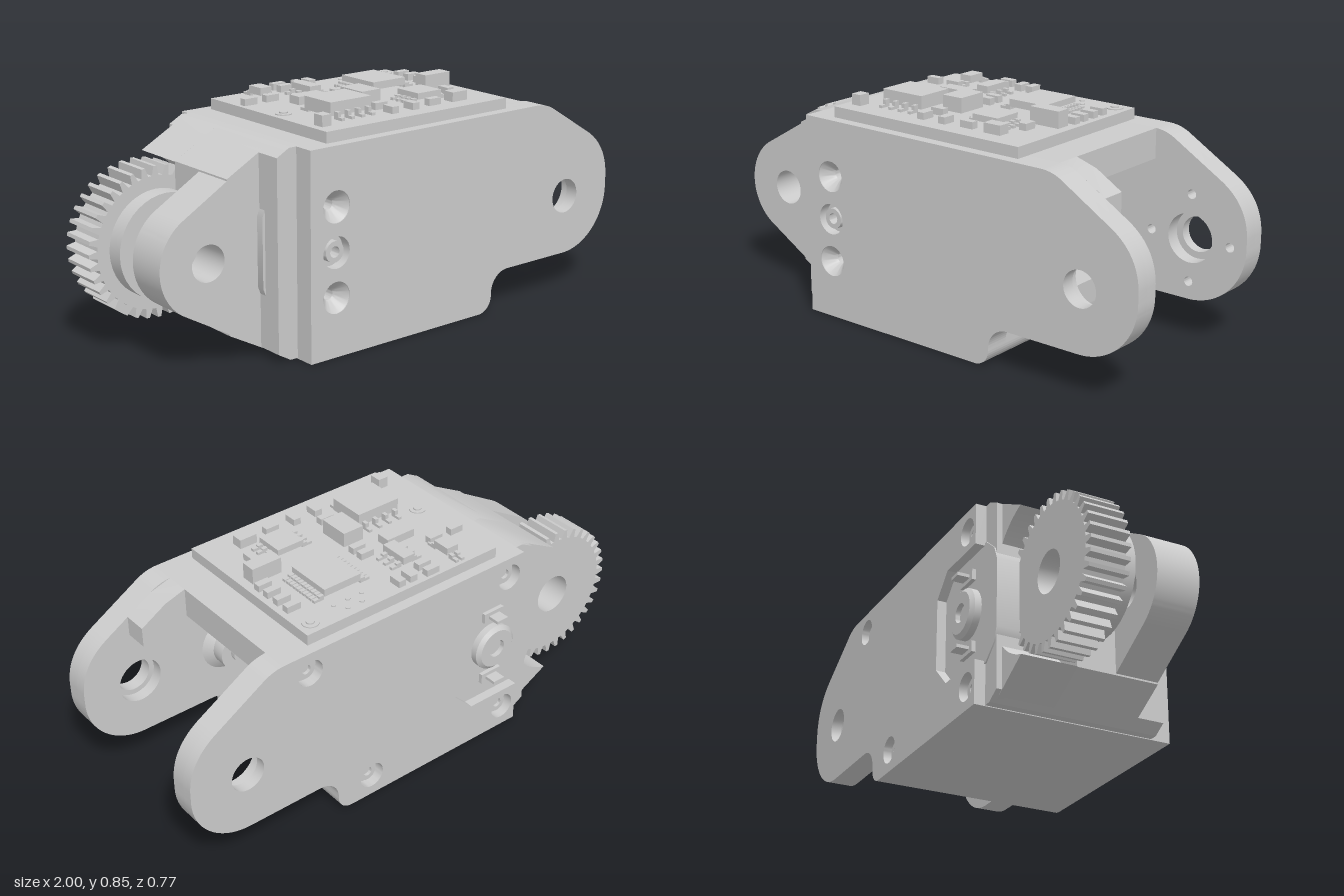
import * as THREE from 'three';
import { toCreasedNormals } from 'three/addons/utils/BufferGeometryUtils.js';

const MID = 0.375; // height of all shaft axes
const GX = -0.73, MX = -0.33, AX = 0.775; // gear, motor and arm axes

export function createModel() {
  const model = new THREE.Group();
  const mat = new THREE.MeshStandardMaterial({ color: 0xcccccc });

  const add = (name, geo, x = 0, y = 0, z = 0) => {
    const m = new THREE.Mesh(geo, mat);
    m.name = name;
    m.position.set(x, y, z);
    model.add(m);
    return m;
  };
  const box = (name, x0, x1, y0, y1, z0, z1) =>
    add(name, new THREE.BoxGeometry(x1 - x0, y1 - y0, z1 - z0), (x0 + x1) / 2, (y0 + y1) / 2, (z0 + z1) / 2);
  // Prism of an xy shape between two z values, with round holes [x, y, r]
  const slab = (name, shape, z0, z1, holes = []) => {
    const s = shape.clone();
    for (const [x, y, r] of holes) s.holes.push(new THREE.Path().absarc(x, y, r, 0, Math.PI * 2, true));
    const g = new THREE.ExtrudeGeometry(s, { depth: z1 - z0, bevelEnabled: false, curveSegments: 20 });
    return add(name, toCreasedNormals(g, 0.5), 0, 0, z0);
  };
  const poly = (pts) => new THREE.Shape(pts.map(([x, y]) => new THREE.Vector2(x, y)));
  const disc = (x, y, r) => new THREE.Shape().absarc(x, y, r, 0, Math.PI * 2, false);
  // Turned part along z: profile points [r, z]
  const turned = (name, x, y, pts) => {
    const g = new THREE.LatheGeometry(pts.map(([r, z]) => new THREE.Vector2(r, z)), 32);
    g.rotateX(Math.PI / 2);
    const m = add(name, toCreasedNormals(g, 0.5), x, y, 0);
    m.material = mat.clone();
    m.material.side = THREE.DoubleSide;
    return m;
  };

  // Side plate outline with fork arm; the rear one is notched around the motor
  const plate = (notched) => {
    const s = new THREE.Shape();
    s.moveTo(-0.44, 0);
    s.lineTo(0.34, 0);
    s.absarc(0.34, 0.06, 0.06, -Math.PI / 2, 0, false);
    s.lineTo(0.4, 0.08);
    s.absarc(0.48, 0.07, 0.08, Math.PI, Math.PI / 2, true);
    s.absarc(AX, MID, 0.225, -Math.PI / 2, 0, false);
    s.lineTo(1, 0.42);
    s.quadraticCurveTo(0.995, 0.54, 0.89, 0.605);
    s.lineTo(0.7, 0.72);
    s.quadraticCurveTo(0.66, 0.745, 0.61, 0.745);
    s.lineTo(-0.44, 0.745);
    if (notched) {
      for (const [x, y] of [[-0.44, 0.59], [-0.22, 0.59], [-0.14, 0.51], [-0.14, 0.24], [-0.22, 0.16], [-0.44, 0.16]])
        s.lineTo(x, y);
    }
    return s;
  };
  const axle = [AX, MID, 0.065];

  // Front plate with countersunk screw holes
  const frontScrews = [0.535, MID, 0.215];
  slab('frontPlateInner', plate(false), 0.29, 0.335, [[AX, MID, 0.085], ...frontScrews.map((y) => [MX, y, 0.022])]);
  slab('frontPlateOuter', plate(false), 0.335, 0.385, [axle, ...frontScrews.map((y) => [MX, y, 0.057])]);
  for (const y of frontScrews)
    turned('frontScrew', MX, y, y === MID
      ? [[0.02, 0.335], [0.02, 0.375], [0.038, 0.375], [0.038, 0.345], [0.057, 0.345]]
      : [[0.02, 0.337], [0.028, 0.35], [0.057, 0.382]]);

  // Rear plate with counterbored screws and a ring of small holes in the arm
  const rearScrews = [[0.51, 0.665], [-0.375, 0.665], [0.25, 0.085], [-0.375, 0.085]];
  const ring = [0, 1, 2, 3].map((i) => {
    const a = (i * Math.PI) / 2;
    return [AX + 0.16 * Math.cos(a), MID + 0.16 * Math.sin(a), 0.017];
  });
  slab('rearPlateInner', plate(true), -0.32, -0.265, [[AX, MID, 0.09], ...ring]);
  slab('rearPlateOuter', plate(true), -0.36, -0.32, [axle, ...rearScrews.map(([x, y]) => [x, y, 0.05])]);
  for (const [x, y] of rearScrews)
    turned('rearScrew', x, y, [[0.018, -0.323], [0.018, -0.335], [0.036, -0.335], [0.036, -0.322]]);

  // Core: rear wall, roof and rounded floor around an open bay
  const core = new THREE.Shape();
  core.moveTo(-0.44, 0);
  core.lineTo(0.34, 0);
  core.absarc(0.34, 0.06, 0.06, -Math.PI / 2, 0, false);
  for (const [x, y] of [[0.4, 0.15], [-0.22, 0.15], [-0.22, 0.6], [0.45, 0.6], [0.5, 0.635], [0.62, 0.635], [0.62, 0.745], [-0.44, 0.745]])
    core.lineTo(x, y);
  slab('core', core, -0.265, 0.29);
  slab('roofRib', poly([[0.45, 0.585], [0.8, 0.585], [0.8, 0.66], [0.7, 0.72], [0.62, 0.745], [0.45, 0.745]]), 0.2, 0.29);
  slab('roofCorner', poly([[0.4, 0.6], [0.62, 0.655], [0.62, 0.7], [0.4, 0.7]]), -0.265, -0.14);

  // Motor can with flat sides, end boss and terminals
  const can = poly([[-0.45, 0.15], [-0.21, 0.15], [-0.155, 0.19], [-0.13, 0.25], [-0.13, 0.5],
    [-0.155, 0.56], [-0.21, 0.6], [-0.45, 0.6], [-0.51, 0.55], [-0.53, 0.5], [-0.53, 0.25], [-0.51, 0.2]]);
  slab('motor', can, -0.325, 0.24);
  turned('motorBoss', MX, MID, [[0, -0.345], [0.035, -0.345], [0.035, -0.363], [0.075, -0.363], [0.09, -0.35], [0.09, -0.32]]);
  for (const s of [-1, 1]) {
    const y = MID + s * 0.135;
    box('terminal', MX - 0.025, MX + 0.025, y - 0.006, y + 0.006, -0.385, -0.32);
    box('terminalSeat', MX - 0.045, MX + 0.045, y - 0.02, y + 0.02, -0.34, -0.32);
  }

  // Bosses inside the bay
  const boss = (name, x, r, z0, z1, tip, foot = r) =>
    turned(name, x, MID, [[foot, z0], [r, z0 + (z1 - z0) * 0.3], [r, z1], [0.037, z1], [0.037, tip], [0.018, tip], [0.018, z1], [0, z1]]);
  boss('frontBoss', 0.13, 0.092, 0.29, 0.125, 0.108);
  boss('frontStopBoss', 0.4, 0.077, 0.29, 0.215, 0.195, 0.11);
  boss('rearBoss', 0.13, 0.092, -0.265, -0.065, -0.048);

  // Tapered tail: neck, pocket around the gear, and rounded prong
  const edge = (x) => 0.745 + (x + 0.47) * 0.54;
  const taper = (x) => poly([[x, 0.75 - edge(x)], [-0.47, 0.003], [-0.4, 0.003], [-0.4, 0.745], [-0.47, 0.745], [x, edge(x)]]);
  slab('tailNeck', taper(-0.52), -0.32, 0.31);
  slab('tailBlock', taper(-0.65), -0.095, 0.21);
  const prong = new THREE.Shape();
  prong.moveTo(-0.5, 0.75 - edge(-0.5));
  prong.lineTo(-0.5, edge(-0.5));
  prong.absarc(GX, MID, 0.19, 2.07, -2.07, false);
  slab('tailProng', prong, 0.05, 0.21, [[GX, MID, 0.065]]);
  const pocket = new THREE.Shape();
  const pa = Math.acos(0.08 / 0.29);
  pocket.moveTo(-0.65, edge(-0.65));
  pocket.absarc(GX, MID, 0.283, pa, -pa, true);
  for (const [x, y] of [[-0.65, 0.75 - edge(-0.65)], [-0.47, 0.003], [-0.42, 0.003], [-0.42, 0.745], [-0.47, 0.745]])
    pocket.lineTo(x, y);
  slab('gearPocket', pocket, -0.3, -0.095);

  // Output gear with hub
  const teeth = 36;
  const pts = [];
  for (let i = 0; i < teeth; i++)
    for (const [f, r] of [[-0.32, 0.237], [-0.14, 0.27], [0.14, 0.27], [0.32, 0.237]]) {
      const a = ((i + f) / teeth) * Math.PI * 2;
      pts.push([GX + r * Math.cos(a), MID + r * Math.sin(a)]);
    }
  slab('gear', poly(pts), -0.24, -0.095, [[GX, MID, 0.075]]);
  slab('gearHub', disc(GX, MID, 0.19), -0.095, -0.03, [[GX, MID, 0.065]]);
  slab('gearSpacer', disc(GX, MID, 0.1), -0.03, 0.01, [[GX, MID, 0.065]]);
  box('gearKey', -0.705, -0.66, 0.3, 0.45, -0.03, 0.05);

  // Circuit board
  const Y = 0.785;
  box('circuitBoard', -0.34, 0.49, 0.745, Y, -0.32, 0.345);
  const part = (name, x, z, w, d, h, y = Y) => box(name, x - w / 2, x + w / 2, y, y + h, z - d / 2, z + d / 2);
  // Chip with n bent pins on each of two sides (alongX: the rows run in x)
  const chip = (x, z, w, d, h, n, alongX) => {
    part('chip', x, z, w, d, h - 0.012, Y + 0.012);
    for (let i = 0; i < n; i++)
      for (const s of [-1, 1]) {
        const t = (i + 0.5) / n - 0.5;
        const px = alongX ? x + t * w : x + s * (w / 2 + 0.01);
        const pz = alongX ? z + s * (d / 2 + 0.01) : z + t * d;
        part('chipPin', px, pz, alongX ? 0.014 : 0.02, alongX ? 0.02 : 0.014, h * 0.45);
        const k = 0.02 * s;
        part('chipFoot', px + (alongX ? 0 : k), pz + (alongX ? k : 0), alongX ? 0.014 : 0.022, alongX ? 0.022 : 0.014, 0.01);
      }
  };
  chip(-0.13, 0.145, 0.18, 0.145, 0.06, 4, true);
  chip(0.245, -0.105, 0.155, 0.18, 0.04, 10, false);
  chip(0.24, 0.155, 0.11, 0.11, 0.035, 4, false);
  chip(-0.185, -0.23, 0.05, 0.07, 0.04, 2, true);
  chip(-0.03, -0.16, 0.05, 0.11, 0.04, 3, false);
  for (const [x, z, w, d, h] of [[0.03, 0.075, 0.085, 0.12, 0.055], [-0.105, -0.055, 0.12, 0.055, 0.03],
    [0.395, 0.055, 0.12, 0.055, 0.06], [0.325, 0.255, 0.07, 0.045, 0.035], [-0.29, 0.262, 0.04, 0.045, 0.04]])
    part('component', x, z, w, d, h);
  // Small resistors: [x, z], wide in x or in z
  for (const [x, z] of [[-0.295, -0.15], [-0.2, -0.15], [-0.06, -0.295], [-0.06, -0.25], [0.05, -0.075], [0.05, -0.03],
    [0.44, -0.17], [0.44, -0.115], [0.44, -0.06], [0.44, -0.01], [0.02, 0.19], [0.21, 0.26]])
    part('resistor', x, z, 0.055, 0.027, 0.025);
  for (const [x, z] of [[0.02, -0.275], [0.07, -0.275], [0.375, 0.15], [0.015, 0.26], [0.11, 0.26]])
    part('resistor', x, z, 0.03, 0.05, 0.025);
  // Board screws and solder points
  for (const [x, z] of [[0.44, -0.27], [-0.29, 0.045]]) {
    const r = add('boardScrew', new THREE.CylinderGeometry(0.03, 0.03, 0.006, 24), x, Y + 0.001, z);
    const c = add('boardScrewCentre', new THREE.CylinderGeometry(0.015, 0.015, 0.012, 20), x, Y + 0.003, z);
  }
  for (let i = 0; i < 5; i++)
    add('solderPoint', new THREE.CylinderGeometry(0.009, 0.009, 0.006, 12), 0.2 + i * 0.03, Y + 0.001, i % 2 ? -0.28 : -0.24);

  return model;
}
